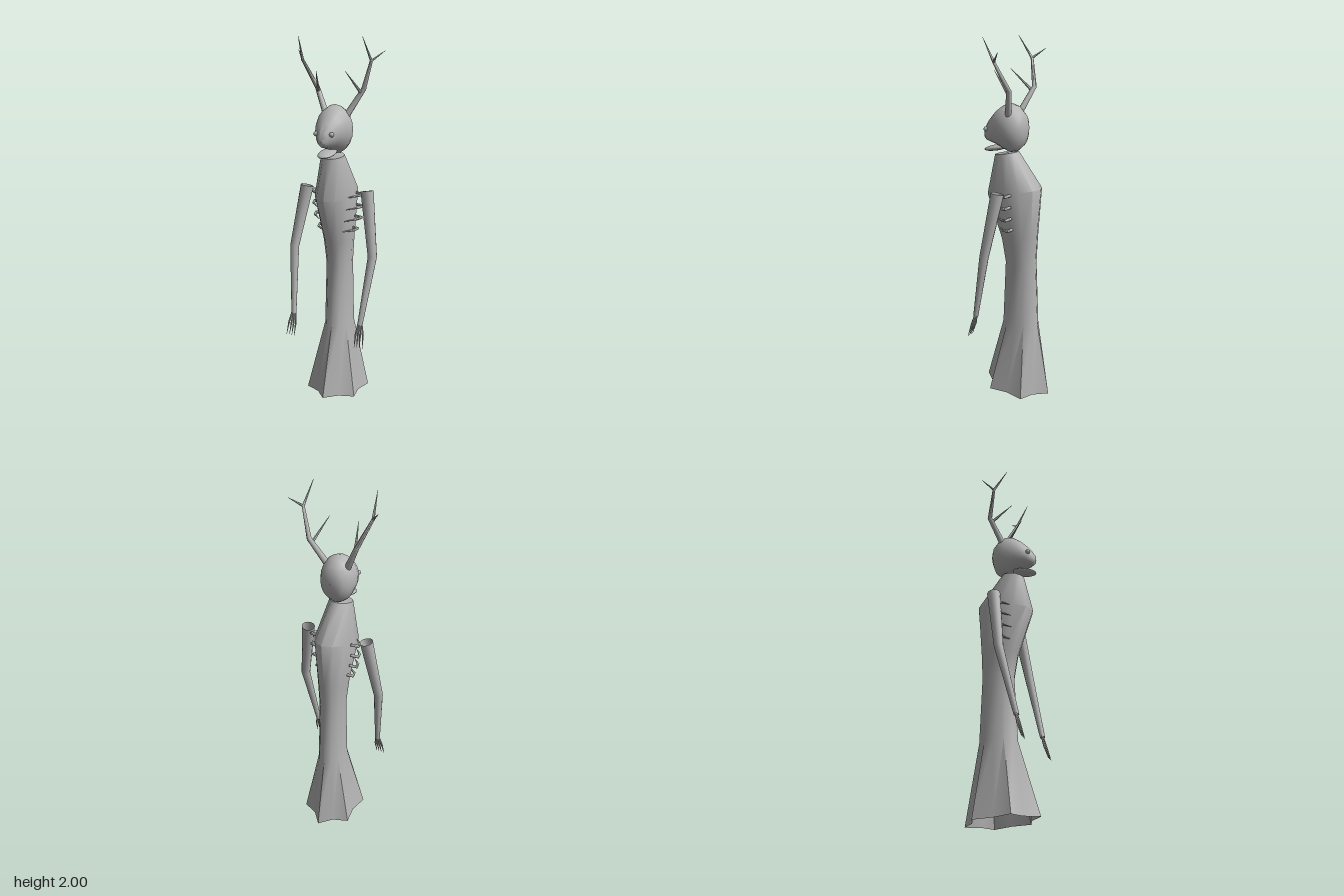
import * as THREE from 'three';
import { toCreasedNormals } from 'three/addons/utils/BufferGeometryUtils.js';

const grey = new THREE.MeshStandardMaterial({ color: 0xb4b4b4, side: THREE.DoubleSide });
grey.name = 'ash grey';

const V = (x, y, z) => new THREE.Vector3(x, y, z);

function addMesh(parent, name, geometry) {
  const mesh = new THREE.Mesh(geometry, grey);
  mesh.name = name;
  parent.add(mesh);
  return mesh;
}

// Skin a list of closed rings; point(ring, angle, index) gives each corner
function loft(rings, sides, point, crease) {
  const pos = [], index = [];
  rings.forEach((ring, i) => {
    for (let j = 0; j < sides; j++) {
      pos.push(...point(ring, (j / sides) * Math.PI * 2, j));
      if (i === rings.length - 1) continue;
      const k = (j + 1) % sides;
      const a = i * sides + j, b = i * sides + k;
      index.push(a, b, b + sides, a, b + sides, a + sides);
    }
  });
  const geo = new THREE.BufferGeometry();
  geo.setAttribute('position', new THREE.Float32BufferAttribute(pos, 3));
  geo.setIndex(index);
  return toCreasedNormals(geo, crease);
}

// Round tapered limb through points [Vector3, radius], mitred at the bends
function limb(points, sides, capped) {
  const rings = points.map(([p, r], i) => {
    const before = points[Math.max(i - 1, 0)][0];
    const after = points[Math.min(i + 1, points.length - 1)][0];
    const dir = after.clone().sub(before).normalize();
    const q = new THREE.Quaternion().setFromUnitVectors(V(0, 0, 1), dir);
    return { p, r, q };
  });
  if (capped) {
    rings.unshift({ ...rings[0], r: 0.0002 });
    rings.push({ ...rings[rings.length - 1], r: 0.0002 });
  }
  return loft(rings, sides, ({ p, r, q }, a) =>
    V(Math.cos(a) * r, Math.sin(a) * r, 0).applyQuaternion(q).add(p).toArray(), 0.9);
}

// Robe: [y, tilt towards front, front z, back z, half width, notch depth]
function robe() {
  const rings = [
    [0.017, 0.013, 0.2, -0.205, 0.17, 0.76],
    [0.42, 0, 0.085, -0.13, 0.076, 1],
    [0.78, 0, 0.067, -0.115, 0.07, 1],
    [0.92, -0.01, 0.09, -0.122, 0.08, 1],
    [1.185, -0.025, 0.18, -0.145, 0.106, 1],
    [1.39, -0.01, 0.13, 0, 0.063, 1],
    [1.39, -0.001, 0.066, 0.064, 0.001, 1],
  ];
  return loft(rings, 12, ([y, tilt, zf, zb, w, notch], a, j) => {
    const k = j % 2 ? notch : 1;
    const c = Math.cos(a) * k;
    return [Math.sin(a) * w * k, y + tilt * c, (zf + zb) / 2 + ((zf - zb) / 2) * c];
  }, 0.75);
}

// Skull: [z, low y, high y, half width]
function skull() {
  const rings = [
    [-0.055, 1.524, 1.526, 0.001],
    [-0.05, 1.48, 1.575, 0.04],
    [-0.035, 1.435, 1.61, 0.067],
    [0, 1.403, 1.645, 0.088],
    [0.035, 1.396, 1.657, 0.095],
    [0.08, 1.415, 1.645, 0.09],
    [0.12, 1.432, 1.615, 0.075],
    [0.16, 1.442, 1.572, 0.052],
    [0.188, 1.45, 1.532, 0.028],
    [0.202, 1.46, 1.505, 0.011],
    [0.205, 1.479, 1.481, 0.001],
  ];
  return loft(rings, 20, ([z, lo, hi, w], a) =>
    [Math.cos(a) * w, (lo + hi) / 2 + (Math.sin(a) * (hi - lo)) / 2, z], 1.4);
}

// Parts repeated on both sides; s is +1 for left, -1 for right
function addSide(parent, s) {
  const side = s > 0 ? 'left' : 'right';
  const P = (x, y, z) => V(x * s, y, z);

  const eye = addMesh(parent, side + 'Eye', new THREE.SphereGeometry(0.013, 14, 10));
  eye.position.copy(P(0.045, 1.516, 0.17));

  // Antler
  const antler = new THREE.Group();
  antler.name = side + 'Antler';
  parent.add(antler);
  const fork = P(0.197, 1.88, 0.022);
  addMesh(antler, 'antlerBeam', limb([
    [P(0.055, 1.59, 0.025), 0.018], [P(0.135, 1.735, -0.027), 0.013],
    [fork, 0.008], [P(0.18, 2.0, 0.097), 0.001]], 8, true));
  addMesh(antler, 'outerTine', limb([[fork, 0.007], [P(0.25, 1.93, -0.033), 0.001]], 6, true));
  addMesh(antler, 'innerTine', limb([
    [P(0.124, 1.715, -0.018), 0.009], [P(0.083, 1.83, 0.09), 0.001]], 6, true));

  // Arm with open shoulder, and four fingers
  const arm = new THREE.Group();
  arm.name = side + 'Arm';
  parent.add(arm);
  addMesh(arm, 'sleeve', limb([
    [P(0.18, 1.205, 0.018), 0.036], [P(0.237, 0.86, 0.07), 0.025],
    [P(0.203, 0.49, 0.152), 0.014]], 12, false));
  [0.233, 0.215, 0.2, 0.185].forEach((x, i) => {
    const root = 0.212 - i * 0.006;
    addMesh(arm, 'finger', limb([
      [P(root, 0.505, 0.149), 0.005],
      [P((root + x) / 2 + (x - 0.209) * 0.2, 0.44, 0.165), 0.0055],
      [P(x, 0.37, 0.187), 0.001]], 6, true));
  });

  // Ribs poking out of the flank and tapering into the chest
  [[1.18, 0.15, 0.085], [1.115, 0.15, 0.085], [1.05, 0.142, 0.075], [0.985, 0.12, 0.045]]
    .forEach(([y, outer, inner]) => {
      addMesh(parent, side + 'Rib', limb([
        [P(outer - 0.045, y + 0.002, -0.015), 0.008], [P(outer - 0.004, y, -0.004), 0.009],
        [P(outer - 0.015, y - 0.003, 0.03), 0.007], [P(inner, y - 0.01, 0.085), 0.001]], 8, true));
    });
}

export function createModel() {
  const model = new THREE.Group();
  model.name = 'antleredFigure';
  addMesh(model, 'robe', robe());
  addMesh(model, 'head', skull());

  // Lower jaw, dropping towards the front
  const jaw = addMesh(model, 'jaw', new THREE.SphereGeometry(1, 20, 12));
  jaw.scale.set(0.045, 0.016, 0.075);
  jaw.position.set(0, 1.412, 0.13);
  jaw.rotation.x = 0.2;

  for (const s of [1, -1]) addSide(model, s);
  return model;
}
